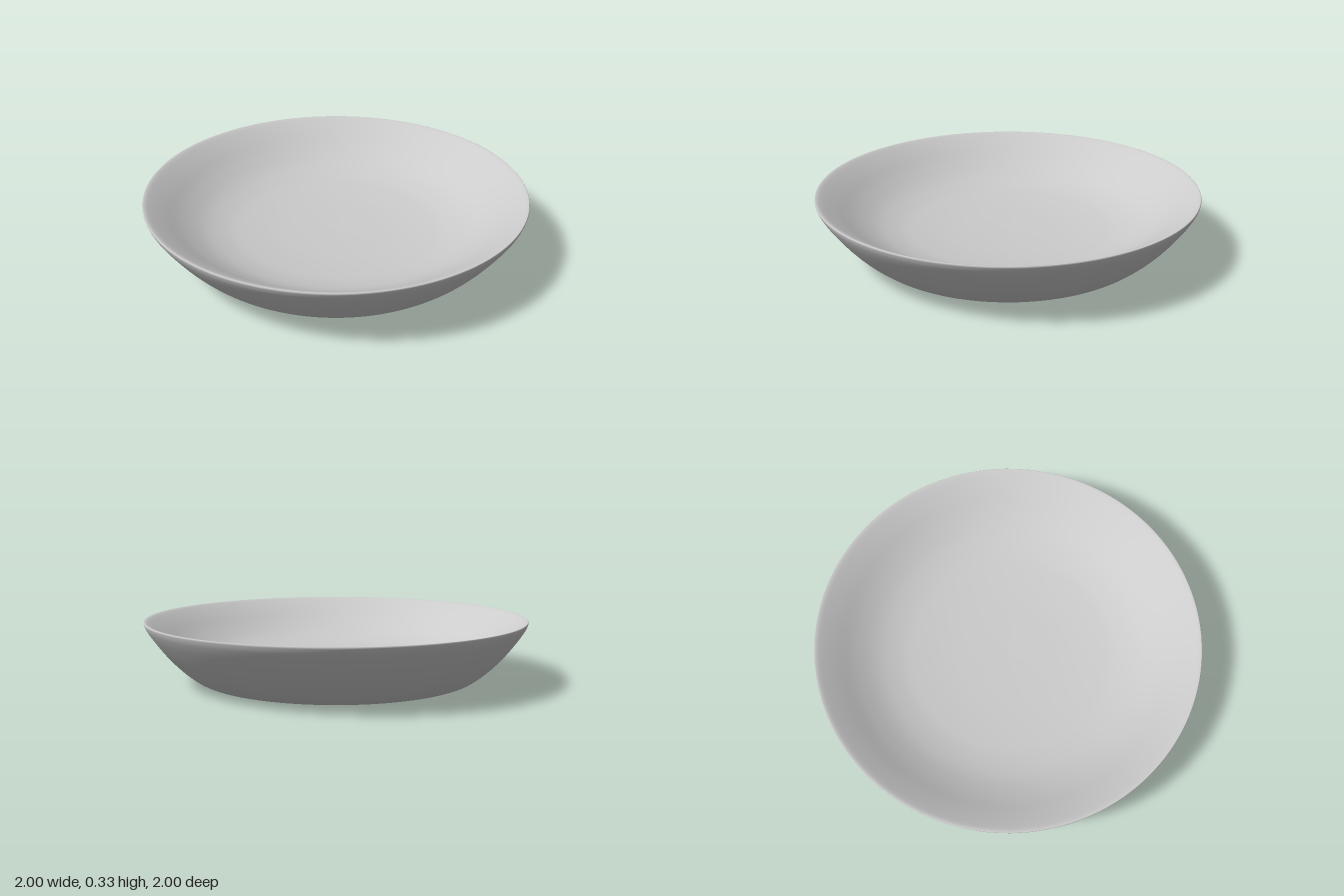
import * as THREE from 'three';

// Smooth curve through a few [radius, height] points
function smooth(points, divisions) {
  return new THREE.SplineCurve(points.map(([r, y]) => new THREE.Vector2(r, y))).getPoints(divisions);
}

export function createModel() {
  const group = new THREE.Group();
  const material = new THREE.MeshStandardMaterial({ color: 0xcccccc });

  // Flat foot curving into the flared outer wall
  const outer = smooth([
    [0.65, 0], [0.7, 0.007], [0.75, 0.03], [0.82, 0.085],
    [0.89, 0.157], [0.955, 0.24], [0.988, 0.29], [0.999, 0.315],
  ], 32);

  // Rounded lip, then the shallow inside of the bowl
  const inner = smooth([
    [0.999, 0.315], [1, 0.322], [0.995, 0.326], [0.97, 0.316], [0.9, 0.273],
    [0.8, 0.207], [0.7, 0.155], [0.6, 0.123], [0.5, 0.105], [0.3, 0.087], [0, 0.078],
  ], 60);
  inner[inner.length - 1].x = 0;

  const profile = [
    new THREE.Vector2(0, 0),
    new THREE.Vector2(0.6, 0),
    ...outer,
    ...inner.slice(1),
  ];

  const dish = new THREE.Mesh(new THREE.LatheGeometry(profile, 128), material);
  dish.name = 'dish';
  group.add(dish);
  return group;
}
